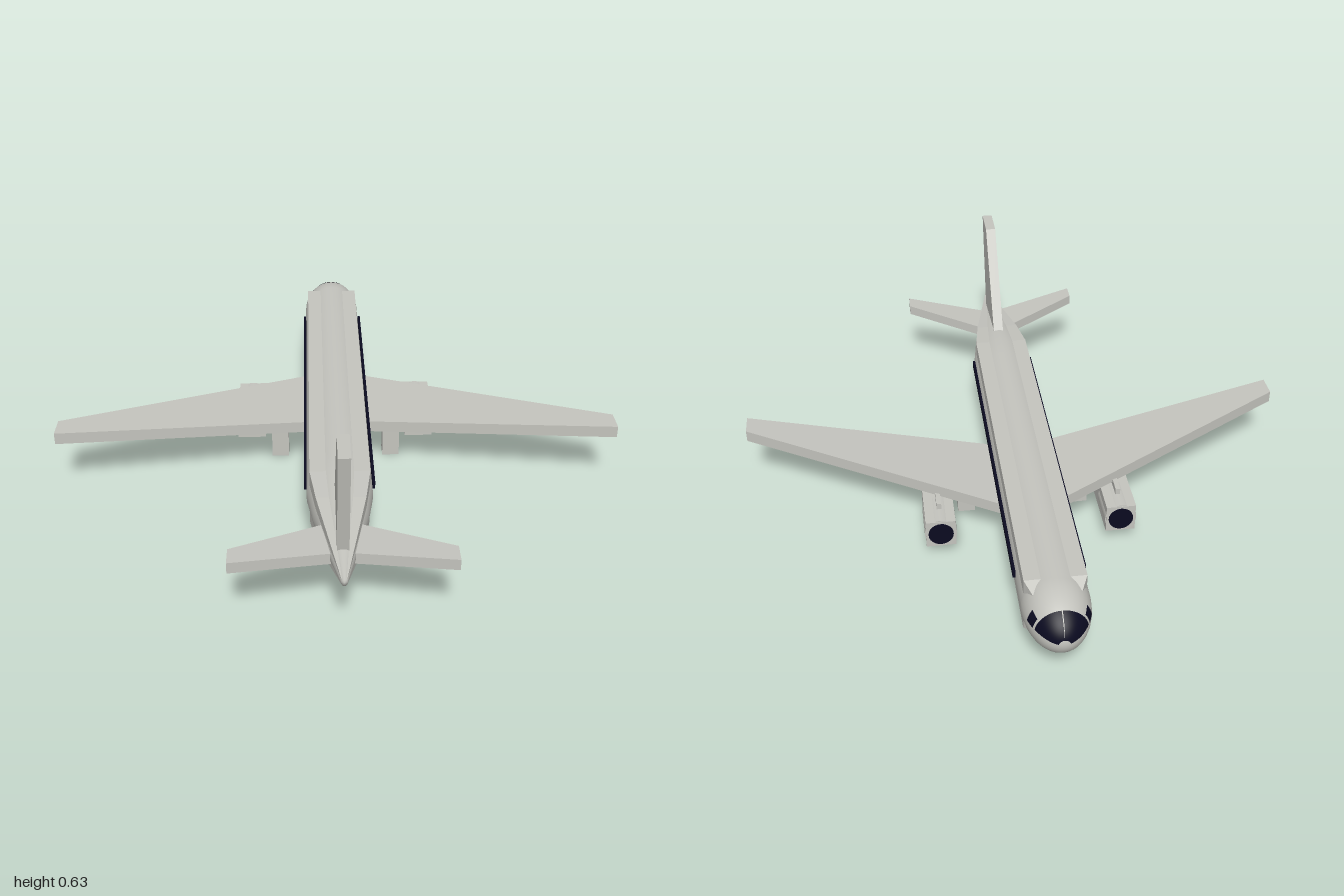
import * as THREE from 'three';

const paint = new THREE.MeshStandardMaterial({ color: 0xc4c4be });
paint.name = 'lightGreyPaint';
const glass = new THREE.MeshStandardMaterial({ color: 0x0a0a20, side: THREE.DoubleSide });
glass.name = 'darkGlass';

// Skins a list of equal-sized point rings; flat ones are capped and faceted.
function loft(rings, flat) {
  const n = rings[0].length, pos = rings.flat(), tris = [];
  for (let i = 0; i < rings.length - 1; i++)
    for (let j = 0; j < n; j++) {
      const a = i * n + j, b = i * n + (j + 1) % n;
      tris.push([a, b, a + n], [b, b + n, a + n]);
    }
  if (flat) {
    const e = (rings.length - 1) * n;
    for (let j = 1; j < n - 1; j++) tris.push([0, j + 1, j], [e, e + j, e + j + 1]);
  }
  // Turn the faces outward, whichever way the rings run
  const mid = new THREE.Vector3();
  const v = pos.map(p => new THREE.Vector3(...p));
  v.forEach(p => mid.addScaledVector(p, 1 / v.length));
  let volume = 0;
  for (const [a, b, c] of tris) {
    const p = v[a].clone().sub(mid), q = v[b].clone().sub(mid), r = v[c].clone().sub(mid);
    volume += p.dot(q.cross(r));
  }
  if (volume < 0) tris.forEach(t => t.reverse());
  let g = new THREE.BufferGeometry();
  g.setAttribute('position', new THREE.Float32BufferAttribute(pos.flat(), 3));
  g.setIndex(tris.flat());
  if (flat) g = g.toNonIndexed();
  g.computeVertexNormals();
  return g;
}

// Elliptical or square ring across the fuselage
const roundRing = ([z, y, w, h]) => Array.from({ length: 32 }, (_, i) => {
  const a = i / 32 * Math.PI * 2;
  return [Math.cos(a) * w, y + Math.sin(a) * h, z];
});
const squareRing = ([z, y, w, h]) => [[w, y + h, z], [-w, y + h, z], [-w, y - h, z], [w, y - h, z]];

// Rectangular section of a wing at x: leading z, trailing z, bottom y, top y
const wingRing = (x, z0, z1, y0, y1) => [[x, y0, z0], [x, y0, z1], [x, y1, z1], [x, y1, z0]];

export function createModel() {
  const model = new THREE.Group();
  model.name = 'airliner';
  const add = (name, geometry, material = paint) => {
    const mesh = new THREE.Mesh(geometry, material);
    mesh.name = name;
    model.add(mesh);
    return mesh;
  };
  const box = (name, x0, x1, y0, y1, z0, z1, material) => {
    const m = add(name, new THREE.BoxGeometry(x1 - x0, y1 - y0, z1 - z0), material);
    m.position.set((x0 + x1) / 2, (y0 + y1) / 2, (z0 + z1) / 2);
  };

  // Fuselage: a round tube with a squared shell whose corners stand out
  const tail = [[0.65, 0.215, 0.085, 0.09], [0.8, 0.228, 0.052, 0.058]];
  add('fuselageTube', loft([
    [-0.83, 0.21, 0.105, 0.105], [0.42, 0.21, 0.105, 0.105], [0.52, 0.21, 0.105, 0.105],
    ...tail, [0.999, 0.25, 0.009, 0.011], [1, 0.25, 0.0005, 0.0005],
  ].map(roundRing), false));
  add('fuselageShell', loft([
    [-0.865, 0.21, 0.072, 0.072], [-0.82, 0.21, 0.095, 0.095], [0.52, 0.21, 0.095, 0.095],
    ...tail.map(([z, y, w, h]) => [z, y, w * 0.9, h * 0.9]), [0.995, 0.25, 0.008, 0.009],
  ].map(squareRing), true));

  // Nose and cockpit glass, as patches of one stretched sphere pointing to -z
  const nosePart = (name, grow, p0, p1, t0, t1, material) => {
    const g = new THREE.SphereGeometry(1, 32, 16, p0, p1 - p0, t0, t1 - t0);
    g.rotateX(-Math.PI / 2).scale(0.105 + grow, 0.105 + grow, 0.17 + grow);
    add(name, g, material).position.set(0, 0.21, -0.83);
  };
  nosePart('nose', 0, 0, Math.PI * 2, 0, Math.PI / 2, paint);
  for (const s of [0, 1]) {
    const patch = (name, a, b, t0, t1) =>
      nosePart(name, 0.0015, s ? Math.PI - b : a, s ? Math.PI - a : b, t0, t1, glass);
    patch('windshield', 0.2, 1.55, 0.17, 0.86);
    patch('cockpitSideWindow', 0.17, 0.6, 0.92, 1.14);
  }

  // Tail fin
  const fin = (x) => [[x, 0.29, 0.585], [x, 0.63, 0.83], [x, 0.63, 0.955], [x, 0.25, 0.875]];
  add('tailFin', loft([fin(-0.018), fin(0.018)], true));

  box('noseGear', -0.017, 0.017, 0, 0.13, -0.765, -0.73);

  for (const s of [1, -1]) {
    const side = s > 0 ? 'left' : 'right';
    const sideBox = (name, x0, x1, ...rest) =>
      box(side + name, Math.min(s * x0, s * x1), Math.max(s * x0, s * x1), ...rest);

    // Swept wing and tailplane
    add(side + 'Wing', loft([
      wingRing(s * 0.05, -0.342, 0.012, 0.141, 0.181),
      wingRing(s * 0.95, 0.115, 0.197, 0.215, 0.256),
    ], true));
    add(side + 'Tailplane', loft([
      wingRing(s * 0.02, 0.705, 0.86, 0.21, 0.247),
      wingRing(s * 0.33, 0.88, 0.945, 0.246, 0.282),
    ], true));

    // Cabin window band
    sideBox('CabinWindows', 0.104, 0.1125, 0.218, 0.243, -0.71, 0.49, glass);

    // Main landing gear
    sideBox('MainGear', 0.17, 0.23, 0, 0.155, -0.11, -0.05);

    // Engine: square casing, round cowl, pylon, dark intake and exhaust
    sideBox('EngineCasing', 0.255, 0.355, 0.045, 0.145, -0.335, -0.11);
    const cowl = new THREE.CylinderGeometry(0.054, 0.054, 0.13, 24).rotateX(Math.PI / 2);
    add(side + 'EngineCowl', cowl).position.set(s * 0.305, 0.095, -0.267);
    sideBox('EnginePylon', 0.297, 0.313, 0.14, 0.17, -0.27, -0.08);
    for (const [name, r, z] of [['Intake', 0.042, -0.335], ['Exhaust', 0.031, -0.11]]) {
      const disc = new THREE.CylinderGeometry(r, r, 0.006, 24).rotateX(Math.PI / 2);
      add(side + 'Engine' + name, disc, glass).position.set(s * 0.305, 0.095, z);
    }
  }
  return model;
}
